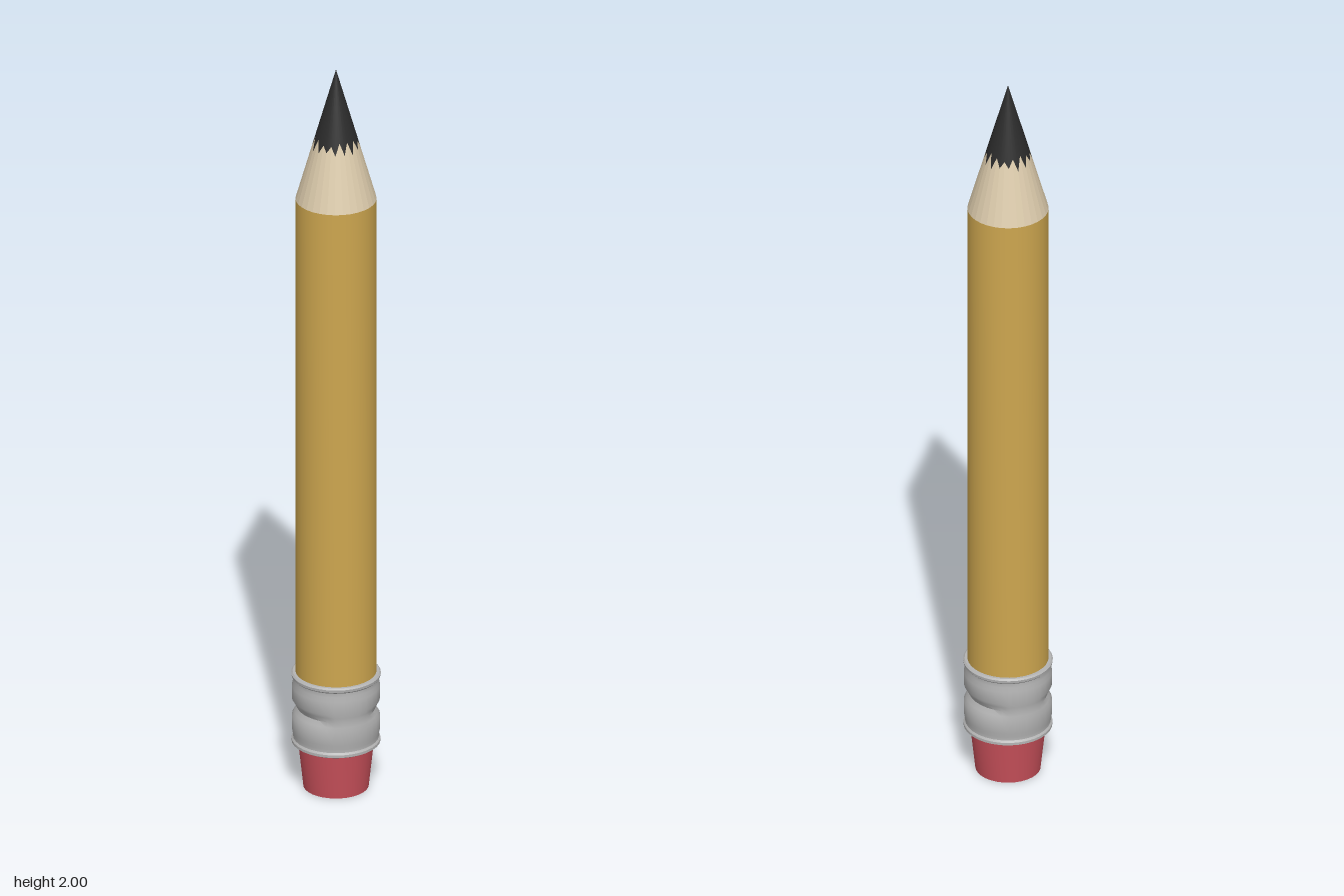
import * as THREE from 'three';
import { mergeVertices, toCreasedNormals } from 'three/addons/utils/BufferGeometryUtils.js';

const SIDES = 32;
const TIP_Y = 2, SHOULDER_Y = 1.64, RADIUS = 0.103;
const coneRadius = (y) => RADIUS * (TIP_Y - y) / (TIP_Y - SHOULDER_Y);
// Zigzag border between wood and lead: every second corner is higher
const borderY = (i) => (i % 2 ? 1.812 : 1.785) + 0.006 * Math.sin(i * 2.3);

function part(name, geometry, color, flatShading = false) {
  const material = new THREE.MeshStandardMaterial({ color, flatShading });
  const mesh = new THREE.Mesh(geometry, material);
  mesh.name = name;
  return mesh;
}

// Turned shape with smooth sides and sharp rims
function turned(points, reshape) {
  const geo = new THREE.LatheGeometry(points.map(([r, y]) => new THREE.Vector2(r, y)), SIDES);
  const pos = geo.attributes.position;
  const v = new THREE.Vector3();
  if (reshape) {
    for (let i = 0; i < pos.count; i++) {
      reshape(v.fromBufferAttribute(pos, i));
      pos.setXYZ(i, v.x, v.y, v.z);
    }
  }
  geo.deleteAttribute('uv');
  geo.deleteAttribute('normal');
  return toCreasedNormals(mergeVertices(geo, 1e-5), 0.6);
}

// Cone section whose top or bottom ring follows the zigzag border
function coneSection(bottomY, topY, zigzagTop) {
  const geo = new THREE.CylinderGeometry(1, 1, 1, SIDES, 1, true);
  const pos = geo.attributes.position;
  for (let i = 0; i < pos.count; i++) {
    const column = i % (SIDES + 1) % SIDES;
    const top = pos.getY(i) > 0;
    const y = top === zigzagTop ? borderY(column) : (top ? topY : bottomY);
    const r = coneRadius(y);
    pos.setXYZ(i, pos.getX(i) * r, y, pos.getZ(i) * r);
  }
  geo.deleteAttribute('uv');
  geo.deleteAttribute('normal');
  return toCreasedNormals(geo, 0.6);
}

export function createModel() {
  const pencil = new THREE.Group();
  pencil.name = 'pencil';

  // Slightly tapered eraser at the foot
  pencil.add(part('eraser', turned([[0, 0], [0.083, 0], [0.097, 0.13], [0, 0.13]]), 0xc8505a));

  // Metal sleeve with rolled rims, ridges and a crimp pressed in on both sides
  const profile = [
    [0, 0.124], [0.108, 0.124], [0.113, 0.127], [0.113, 0.134], [0.109, 0.139],
    [0.109, 0.148], [0.112, 0.16], [0.112, 0.198], [0.11, 0.209], [0.109, 0.222],
    [0.11, 0.235], [0.112, 0.246], [0.112, 0.282], [0.109, 0.294], [0.109, 0.305],
    [0.113, 0.309], [0.114, 0.316], [0.11, 0.32], [0.1, 0.32],
  ];
  const crimp = (v) => {
    const r = Math.hypot(v.x, v.z);
    if (r < 0.01) return;
    const side = Math.max(0, Math.abs(v.x / r) - 0.45) / 0.55;
    const band = Math.max(0, 1 - Math.abs(v.y - 0.222) / 0.024);
    const scale = 1 - 0.09 * Math.sqrt(side) * band;
    v.x *= scale;
    v.z *= scale;
  };
  pencil.add(part('ferrule', turned(profile, crimp), 0xb4b4b4));

  // Painted barrel
  const barrel = turned([[0, 0.3], [RADIUS, 0.3], [RADIUS, SHOULDER_Y]]);
  pencil.add(part('barrel', barrel, 0xcda64f));

  // Sharpened wood and lead point
  pencil.add(part('sharpenedWood', coneSection(SHOULDER_Y, 0, true), 0xdccbac, true));
  pencil.add(part('leadTip', coneSection(0, TIP_Y, false), 0x2b2b2b));

  return pencil;
}
